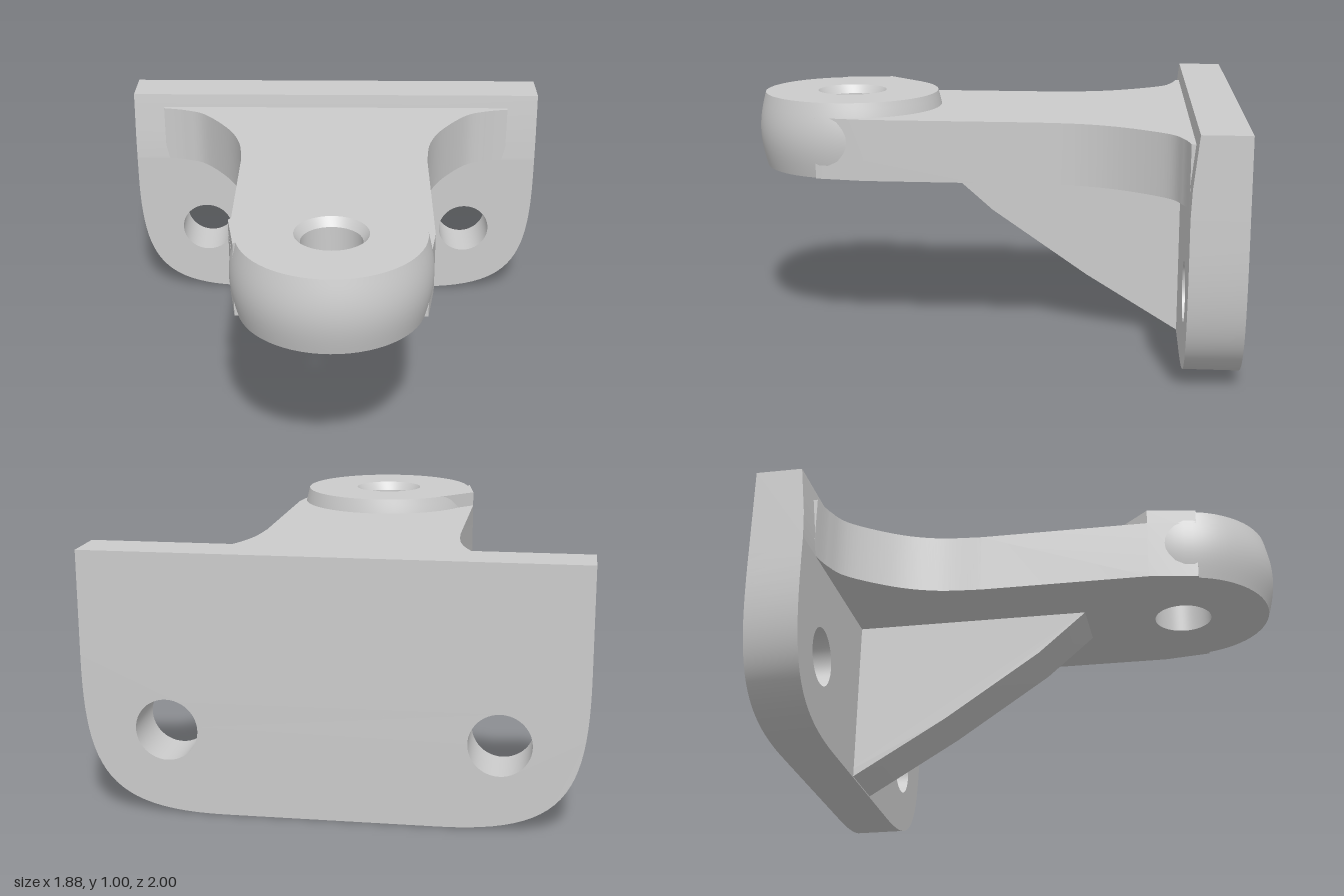
import * as THREE from 'three';
import { toCreasedNormals } from 'three/addons/utils/BufferGeometryUtils.js';

const material = new THREE.MeshStandardMaterial({ color: 0xcccccc });

function part(name, geometry, crease = 0.5) {
  const mesh = new THREE.Mesh(toCreasedNormals(geometry, crease), material);
  mesh.name = name;
  return mesh;
}

const extrude = (shape, depth) =>
  new THREE.ExtrudeGeometry(shape, { depth, bevelEnabled: false, curveSegments: 24 });

const polygon = (points) => new THREE.Shape(points.map(([x, y]) => new THREE.Vector2(x, y)));

// Plan outlines are drawn in (x, -z) and raised from y0 to y1
const raise = (shape, y0, y1) => extrude(shape, y1 - y0).rotateX(-Math.PI / 2).translate(0, y0, 0);

// Side profiles are drawn in (z, y) and spread evenly across x
function spread(points, halfWidth) {
  const shape = polygon(points.map(([z, y]) => [-z, y]));
  return extrude(shape, 2 * halfWidth).rotateY(Math.PI / 2).translate(-halfWidth, 0, 0);
}

const SPLIT = 0.69; // height of the arm's underside
const BOSS_Z = 0.61;

export function createModel() {
  const group = new THREE.Group();
  group.name = 'mountingBracket';

  // Mounting plate: rounded lower corners and two bolt holes
  const plate = new THREE.Shape();
  plate.moveTo(0.94, SPLIT);
  plate.lineTo(-0.94, SPLIT);
  plate.lineTo(-0.94, 0.6);
  plate.bezierCurveTo(-0.94, 0.15, -0.86, 0, -0.4, 0);
  plate.lineTo(0.4, 0);
  plate.bezierCurveTo(0.86, 0, 0.94, 0.15, 0.94, 0.6);
  for (const side of [-1, 1]) {
    plate.holes.push(new THREE.Path().absarc(side * 0.62, 0.325, 0.118, 0, Math.PI * 2, true));
  }
  group.add(part('plateLower', extrude(plate, 0.215).translate(0, 0, -1)));

  // Upper plate, its front leaning slightly back
  group.add(part('plateUpper', spread(
    [[-1, SPLIT], [-0.785, SPLIT], [-0.79, 0.8], [-0.812, 1], [-1, 1]], 0.94)));

  // Arm flaring into the plate, ending in a hollow inside the boss
  const arm = new THREE.Shape();
  const flare = [[0.42, 0.38], [0.48, 0.54], [0.6, 0.71], [0.7, 0.765], [0.8, 0.788]];
  arm.moveTo(0.37, -0.7);
  arm.lineTo(0.4, -0.5);
  arm.lineTo(0.4, 0.2);
  arm.splineThru(flare.map(([x, y]) => new THREE.Vector2(x, y)));
  arm.lineTo(0.8, 0.85);
  arm.lineTo(-0.8, 0.85);
  arm.lineTo(-0.8, 0.788);
  const back = flare.slice(0, -1).reverse().map(([x, y]) => new THREE.Vector2(-x, y));
  arm.splineThru([...back, new THREE.Vector2(-0.4, 0.2)]);
  arm.lineTo(-0.4, -0.5);
  arm.lineTo(-0.37, -0.7);
  arm.lineTo(-0.25, -0.7);
  arm.absarc(0, -BOSS_Z, 0.266, Math.PI + 0.345, -0.345, true);
  group.add(part('arm', raise(arm, SPLIT, 0.94)));

  // Barrel-sided boss with a chamfered bore
  const profile = [[0.12, SPLIT], [0.366, SPLIT]];
  for (let i = 1; i <= 12; i++) {
    const t = i / 12;
    profile.push([0.366 + 0.026 * Math.sin(Math.PI * t), SPLIT + (1 - SPLIT) * t]);
  }
  profile.push([0.145, 1], [0.12, 0.965], [0.12, SPLIT]);
  const boss = new THREE.LatheGeometry(profile.map(([r, y]) => new THREE.Vector2(r, y)), 64);
  group.add(part('boss', boss.translate(0, 0, BOSS_Z)));

  // Raised corner running off one side of the boss
  group.add(part('bossCorner', raise(
    polygon([[-0.26, -0.352], [-0.4, -0.5], [-0.368, -0.7], [-0.2, -0.6]]), 0.9, 1)));

  // Supporting rib below the arm
  group.add(part('rib', spread(
    [[0.2, SPLIT], [0.0, 0.515], [-0.4, 0.24], [-0.785, 0.005], [-0.85, 0.005], [-0.85, SPLIT]], 0.125)));

  return group;
}
